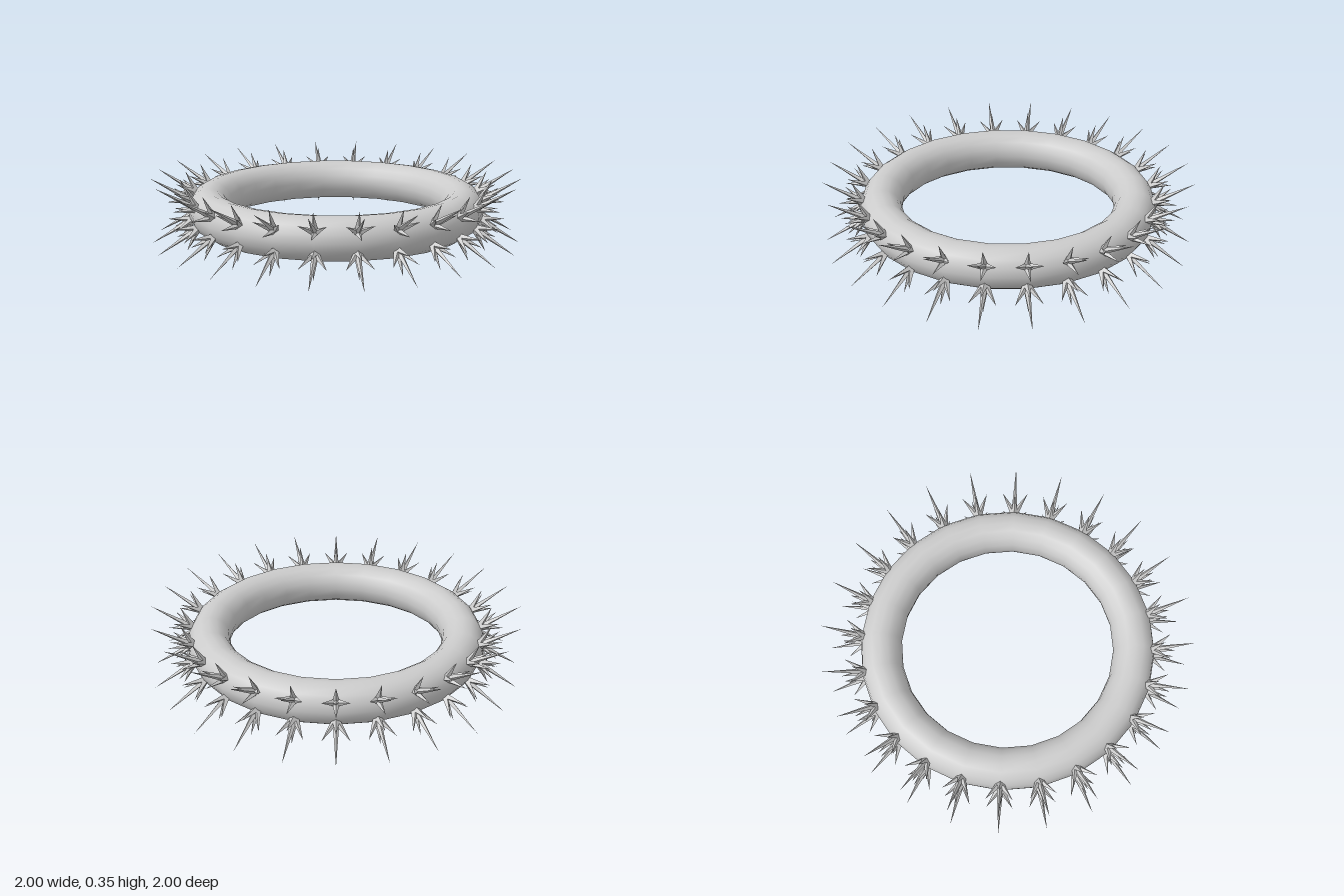
import * as THREE from 'three';
import { mergeGeometries } from 'three/addons/utils/BufferGeometryUtils.js';

const RING_RADIUS = 0.693, TUBE_RADIUS = 0.113, CENTRE_Y = 0.1775, COUNT = 24;

// Four-sided spike pointing along +y, with its base at the origin
function spike(radius, length) {
  return new THREE.ConeGeometry(radius, length, 4).translate(0, length / 2, 0);
}

// One long needle surrounded by four shorter, splayed thorns;
// the origin is the centre of the tube
function clusterGeometry() {
  const parts = [spike(0.018, 0.265).translate(0, 0.09, 0)];
  for (let i = 0; i < 4; i++) {
    parts.push(spike(0.02, 0.135).rotateZ(-0.55).translate(0, 0.1, 0).rotateY(i * Math.PI / 2));
  }
  return mergeGeometries(parts);
}

export function createModel() {
  const model = new THREE.Group();
  model.name = 'spikedRing';

  // Smooth ring lying flat
  const ring = new THREE.Mesh(
    new THREE.TorusGeometry(RING_RADIUS, TUBE_RADIUS, 16, COUNT).rotateX(-Math.PI / 2),
    new THREE.MeshStandardMaterial({ color: 0xcccccc })
  );
  ring.name = 'ring';
  ring.position.y = CENTRE_Y;
  model.add(ring);

  // Two rows of spike clusters, 30 degrees above and below the equator
  const geometry = clusterGeometry();
  const material = new THREE.MeshStandardMaterial({ color: 0xcccccc, flatShading: true });
  for (const [name, tilt] of [['upperSpikes', Math.PI / 6], ['lowerSpikes', -Math.PI / 6]]) {
    const row = new THREE.Group();
    row.name = name;
    for (let i = 0; i < COUNT; i++) {
      const pivot = new THREE.Group();
      pivot.name = 'spikePivot';
      pivot.rotation.y = (i / COUNT) * Math.PI * 2;
      const cluster = new THREE.Mesh(geometry, material);
      cluster.name = 'spikeCluster';
      cluster.position.set(RING_RADIUS, CENTRE_Y, 0);
      cluster.rotation.z = tilt - Math.PI / 2;
      pivot.add(cluster);
      row.add(pivot);
    }
    model.add(row);
  }
  return model;
}
